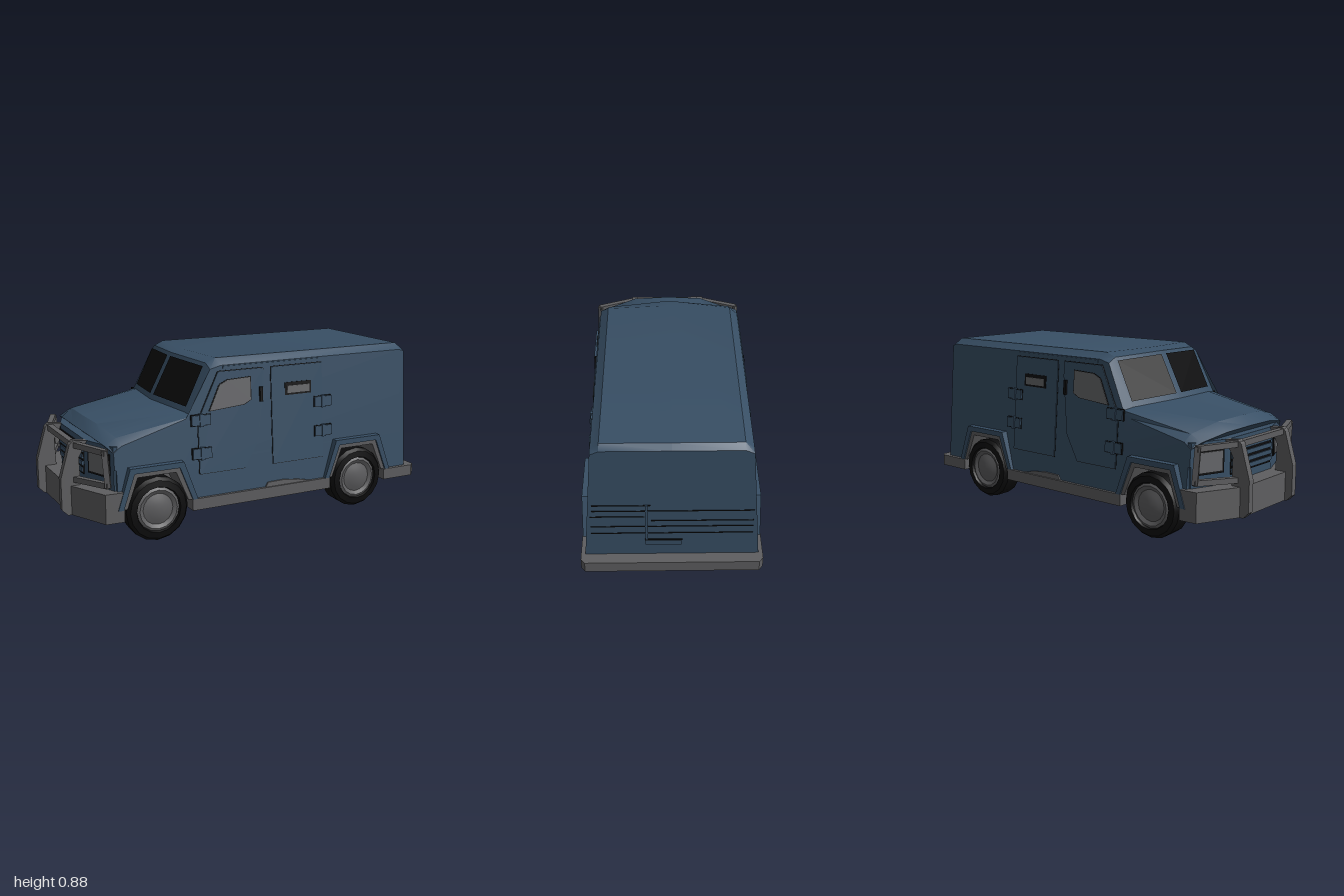
import * as THREE from 'three';
import { toCreasedNormals } from 'three/addons/utils/BufferGeometryUtils.js';

const material = (name, color) => new THREE.MeshStandardMaterial({ name, color });

// The flanks are planes that lean inward towards the roof
const sideZ = (y) => 0.407 - 0.08 * (y - 0.4);

// Copy a geometry to the other flank, keeping faces outward
function mirrorZ(source) {
  const g = source.index ? source.toNonIndexed() : source.clone();
  const p = g.attributes.position;
  const v = new THREE.Vector3(), w = new THREE.Vector3();
  for (let i = 0; i < p.count; i++) p.setZ(i, -p.getZ(i));
  for (let i = 0; i < p.count; i += 3) {
    v.fromBufferAttribute(p, i + 1);
    w.fromBufferAttribute(p, i + 2);
    p.setXYZ(i + 1, w.x, w.y, w.z);
    p.setXYZ(i + 2, v.x, v.y, v.z);
  }
  g.computeVertexNormals();
  return g;
}

export function createModel() {
  const blue = material('bodyBlue', 0x384f65);
  const grey = material('trimGrey', 0x5e5e60);
  const black = material('rubberBlack', 0x0c0c0d);
  const glass = material('windowGrey', 0x66676a);
  const model = new THREE.Group();
  model.name = 'armouredTruck';

  const add = (name, geometry, mat) => {
    const mesh = new THREE.Mesh(geometry, mat);
    mesh.name = name;
    model.add(mesh);
  };
  const box = (name, x0, x1, y0, y1, z0, z1, mat) =>
    add(name, new THREE.BoxGeometry(x1 - x0, y1 - y0, z1 - z0)
      .translate((x0 + x1) / 2, (y0 + y1) / 2, (z0 + z1) / 2), mat);
  const pair = (name, g, mat) => {
    add(name + 'Left', g, mat);
    add(name + 'Right', mirrorZ(g), mat);
  };
  const shape = (pts) => new THREE.Shape(pts.map(([x, y]) => new THREE.Vector2(x, y)));

  // Side outline given thickness; offsets are from the leaning flank, or absolute
  const sidePart = (name, pts, mat, inner, outer, onFlank = true) => {
    const g = new THREE.ExtrudeGeometry(shape(pts), { depth: 1, bevelEnabled: false });
    const p = g.attributes.position;
    for (let i = 0; i < p.count; i++) {
      const z = p.getZ(i) > 0.5 ? outer : inner;
      p.setZ(i, z + (onFlank ? sideZ(p.getY(i)) : 0));
    }
    g.computeVertexNormals();
    pair(name, g, mat);
  };
  const rect = (x0, x1, y0, y1) => [[x0, y0], [x1, y0], [x1, y1], [x0, y1]];

  // Plan outline (x, z), mirrored about the centre line and raised from y0 to y1
  const planPart = (name, half, y0, y1, mat) => {
    const pts = [...half, ...half.map(([x, z]) => [x, -z]).reverse()];
    const g = new THREE.ExtrudeGeometry(shape(pts), { depth: y1 - y0, bevelEnabled: false });
    add(name, g.rotateX(-Math.PI / 2).translate(0, y0, 0), mat);
  };

  // Upper body: half cross-sections from waist to centre line, front to back
  const flank = (x, y) => [x, y, sideZ(y)];
  const stations = [
    [flank(-0.79, 0.385), flank(-0.79, 0.47), [-0.82, 0.5, 0.36], [-0.855, 0.53, 0.2], [-0.862, 0.535, 0]],
    [flank(-0.77, 0.385), flank(-0.75, 0.5), [-0.76, 0.535, 0.36], [-0.8, 0.575, 0.2], [-0.81, 0.58, 0]],
    [flank(-0.42, 0.385), flank(-0.42, 0.57), flank(-0.37, 0.605), [-0.38, 0.615, 0.33], [-0.43, 0.625, 0]],
    [flank(-0.3, 0.385), flank(-0.3, 0.6), flank(-0.26, 0.83), [-0.262, 0.855, 0.325], [-0.305, 0.865, 0]],
    [flank(-0.2, 0.385), flank(-0.2, 0.6), flank(-0.2, 0.845), [-0.21, 0.878, 0.33], [-0.235, 0.878, 0]],
    [flank(0.91, 0.385), flank(0.91, 0.6), flank(0.91, 0.845), [0.91, 0.878, 0.33], [0.91, 0.878, 0]],
    [flank(0.94, 0.385), flank(0.94, 0.6), flank(0.94, 0.835), [0.94, 0.855, 0.33], [0.94, 0.855, 0]],
  ];
  const rings = stations.map((s) => [...s, ...s.slice(0, 4).reverse().map(([x, y, z]) => [x, y, -z])]);
  const verts = [];
  const quad = (a, b, c, d) => verts.push(...a, ...b, ...c, ...a, ...c, ...d);
  for (let i = 0; i < rings.length - 1; i++)
    for (let j = 0; j < 8; j++)
      quad(rings[i][j], rings[i + 1][j], rings[i + 1][j + 1], rings[i][j + 1]);
  const nose = rings[0], tail = rings[rings.length - 1];
  for (let j = 0; j < 4; j++) {
    quad(nose[j], nose[j + 1], nose[7 - j], nose[8 - j]);
    quad(tail[8 - j], tail[7 - j], tail[j + 1], tail[j]);
  }
  const loft = new THREE.BufferGeometry();
  loft.setAttribute('position', new THREE.Float32BufferAttribute(verts, 3));
  add('upperBody', toCreasedNormals(loft, 0.55), blue);

  // Lower body with open wheel arches
  const wheelX = [-0.575, 0.61];
  const archAt = (x) => [[x - 0.185, 0.19], [x - 0.125, 0.365], [x + 0.115, 0.365], [x + 0.185, 0.19]];
  sidePart('lowerPanel', [[-0.78, 0.19], ...archAt(wheelX[0]), ...archAt(wheelX[1]),
    [0.94, 0.19], [0.94, 0.385], [-0.78, 0.385]], blue, -0.12, 0);
  planPart('noseBlock', [[-0.865, 0.2], [-0.79, 0.398], [-0.77, 0.398]], 0.2, 0.5, blue);
  box('tailPanel', 0.9, 0.94, 0.18, 0.4, -0.33, 0.33, blue);
  box('chassis', -0.79, 0.93, 0.13, 0.38, -0.3, 0.3, grey);
  box('sill', -0.39, 0.43, 0.13, 0.19, -0.44, 0.44, grey);
  sidePart('sillStep', [[0.03, 0.185], [0.33, 0.185], [0.24, 0.205], [0.15, 0.216], [0.05, 0.214]], grey, -0.02, 0.008);
  planPart('rearBumper', [[0.785, 0.445], [0.975, 0.445], [1, 0.425]], 0.13, 0.19, grey);

  // Raised fenders and grey arch lips
  const trapezoid = (x, e) => [[x - 0.185 - e, 0.19], [x - 0.125 - e * 0.8, 0.365 + e],
    [x + 0.115 + e * 0.8, 0.365 + e], [x + 0.185 + e, 0.19]];
  const band = (x, e0, e1) => [...trapezoid(x, e1), ...trapezoid(x, e0).reverse()];
  wheelX.forEach((x, i) => {
    const end = i ? 'rear' : 'front';
    sidePart(end + 'Fender', band(x, 0, 0.028), blue, 0.37, 0.443, false);
    sidePart(end + 'ArchLip', band(x, -0.022, 0), grey, 0.3, 0.434, false);
  });

  // Wheels
  const lathe = (pts) => toCreasedNormals(
    new THREE.LatheGeometry(pts.map(([r, y]) => new THREE.Vector2(r, y)), 16), 0.6);
  const tyre = lathe([[0, -0.07], [0.145, -0.07], [0.163, -0.05], [0.165, 0.04],
    [0.15, 0.06], [0.118, 0.064], [0.11, 0.045]]);
  const hub = lathe([[0.116, 0.05], [0.1, 0.058], [0.08, 0.048], [0.055, 0.056], [0.03, 0.062], [0, 0.063]]);
  for (const x of wheelX)
    for (const s of [1, -1]) {
      const wheel = new THREE.Group();
      wheel.name = (x < 0 ? 'front' : 'rear') + 'Wheel';
      for (const [name, g, mat] of [['tyre', tyre, black], ['hub', hub, grey]]) {
        const mesh = new THREE.Mesh(g, mat);
        mesh.name = name;
        wheel.add(mesh);
      }
      wheel.position.set(x, 0.165, s * 0.377);
      wheel.rotation.x = s * Math.PI / 2;
      model.add(wheel);
    }

  // Doors: a dark gap plate with the door skin on top
  const frontDoor = [[-0.34, 0.31], [-0.08, 0.31], [0, 0.44], [0.04, 0.74], [0.04, 0.815],
    [-0.22, 0.815], [-0.34, 0.58]];
  const rearDoor = rect(0.085, 0.395, 0.31, 0.815);
  const grow = (pts, cx, cy, k) => pts.map(([x, y]) => [cx + (x - cx) * k, cy + (y - cy) * k]);
  for (const [name, pts, cx] of [['frontDoor', frontDoor, -0.14], ['rearDoor', rearDoor, 0.24]]) {
    sidePart(name + 'Gap', grow(pts, cx, 0.56, 1.014), black, -0.01, 0.002);
    sidePart(name, pts, blue, -0.01, 0.006);
  }
  const frontWindow = [[-0.275, 0.625], [-0.08, 0.64], [-0.04, 0.66], [-0.04, 0.775], [-0.17, 0.77], [-0.215, 0.75]];
  sidePart('frontWindowSeal', grow(frontWindow, -0.15, 0.7, 1.05), black, 0, 0.008);
  sidePart('frontWindow', frontWindow, glass, 0, 0.01);
  sidePart('slitWindowFrame', rect(0.165, 0.325, 0.662, 0.728), black, 0, 0.009);
  sidePart('slitWindow', rect(0.178, 0.312, 0.672, 0.71), glass, 0, 0.012);
  sidePart('doorHandle', rect(0.012, 0.028, 0.645, 0.72), black, 0, 0.018);
  sidePart('gutterRail', rect(-0.19, 0.4, 0.828, 0.84), blue, -0.01, 0.005);
  for (const [x, y] of [[-0.325, 0.583], [-0.325, 0.415], [0.395, 0.61], [0.395, 0.453]]) {
    sidePart('hingeGap', rect(x - 0.055, x + 0.055, y - 0.029, y + 0.029), black, 0, 0.009);
    sidePart('hinge', rect(x - 0.052, x + 0.052, y - 0.026, y + 0.026), blue, 0, 0.015);
    sidePart('hingeKnuckle', rect(x - 0.01, x + 0.01, y - 0.032, y + 0.032), blue, 0, 0.02);
  }

  // Split windscreen: panes interpolated over the sloping front
  const [bo, bi] = stations[2].slice(3).map((p) => new THREE.Vector3(...p));
  const [to, ti] = stations[3].slice(3).map((p) => new THREE.Vector3(...p));
  const onScreen = (u, v) => bi.clone().lerp(bo, u).lerp(ti.clone().lerp(to, u), v)
    .add(new THREE.Vector3(-0.006, 0.004, 0));
  const c = [[0.06, 0.1], [1, 0.1], [1, 0.92], [0.06, 0.92]].map(([u, v]) => onScreen(u, v).toArray());
  const pane = new THREE.BufferGeometry();
  pane.setAttribute('position', new THREE.Float32BufferAttribute(
    [...c[0], ...c[1], ...c[2], ...c[0], ...c[2], ...c[3]], 3));
  pane.computeVertexNormals();
  pair('windscreen', pane, black);

  // Front bumper, grille and headlights
  planPart('frontBumper', [[-0.96, 0.2], [-0.85, 0.435], [-0.755, 0.44]], 0.13, 0.28, grey);
  box('grille', -0.872, -0.862, 0.32, 0.47, -0.18, 0.18, black);
  for (let i = 0; i < 4; i++)
    box('grilleSlat', -0.878, -0.866, 0.33 + i * 0.035, 0.352 + i * 0.035, -0.18, 0.18, blue);
  const facing = Math.atan2(0.075, 0.198);
  const lamp = (w, h, d) => new THREE.BoxGeometry(d, h, w).rotateY(facing).translate(-0.828, 0.4, 0.3);
  pair('headlightSurround', lamp(0.16, 0.12, 0.012), black);
  pair('headlight', lamp(0.14, 0.1, 0.022), glass);

  // Bull bar: two deep uprights joined by a cranked frame
  const upright = new THREE.ExtrudeGeometry(shape([[-1, 0.16], [-0.97, 0.13], [-0.9, 0.13], [-0.9, 0.28],
    [-0.905, 0.42], [-0.86, 0.5], [-0.93, 0.508], [-0.95, 0.49], [-1, 0.32]]), { depth: 0.035, bevelEnabled: false });
  pair('bullBarUpright', upright.translate(0, 0, 0.185), grey);
  const beam = (a, b, t) => {
    const p = new THREE.Vector3(...a), q = new THREE.Vector3(...b);
    const g = new THREE.BoxGeometry(t, t, p.distanceTo(q) + t * 0.6);
    const aim = new THREE.Object3D();
    aim.position.copy(p).lerp(q, 0.5);
    aim.lookAt(q);
    aim.updateMatrix();
    return g.applyMatrix4(aim.matrix);
  };
  add('bullBarTop', beam([-0.925, 0.485, -0.2], [-0.925, 0.485, 0.2], 0.03), grey);
  const cage = [[-0.925, 0.485, 0.2], [-0.84, 0.485, 0.415], [-0.83, 0.32, 0.42], [-0.93, 0.31, 0.2]];
  for (let i = 0; i < 3; i++) pair('headlightCage', beam(cage[i], cage[i + 1], 0.028), grey);

  // Rear door seams, bars and plate
  for (const [y, z0, z1] of [[0.518, 0.1, 0.38], [0.482, -0.39, 0.38], [0.445, 0.13, 0.39],
    [0.418, -0.39, 0.1], [0.38, -0.39, 0.39], [0.335, -0.39, 0.39]])
    box('rearSeam', 0.937, 0.943, y - 0.002, y + 0.002, z0, z1, black);
  box('rearLatchBar', 0.937, 0.945, 0.26, 0.52, 0.116, 0.128, blue);
  box('rearPlate', 0.937, 0.945, 0.255, 0.29, -0.045, 0.125, blue);
  box('rearPlateSeam', 0.937, 0.947, 0.288, 0.294, -0.05, 0.13, black);
  return model;
}
